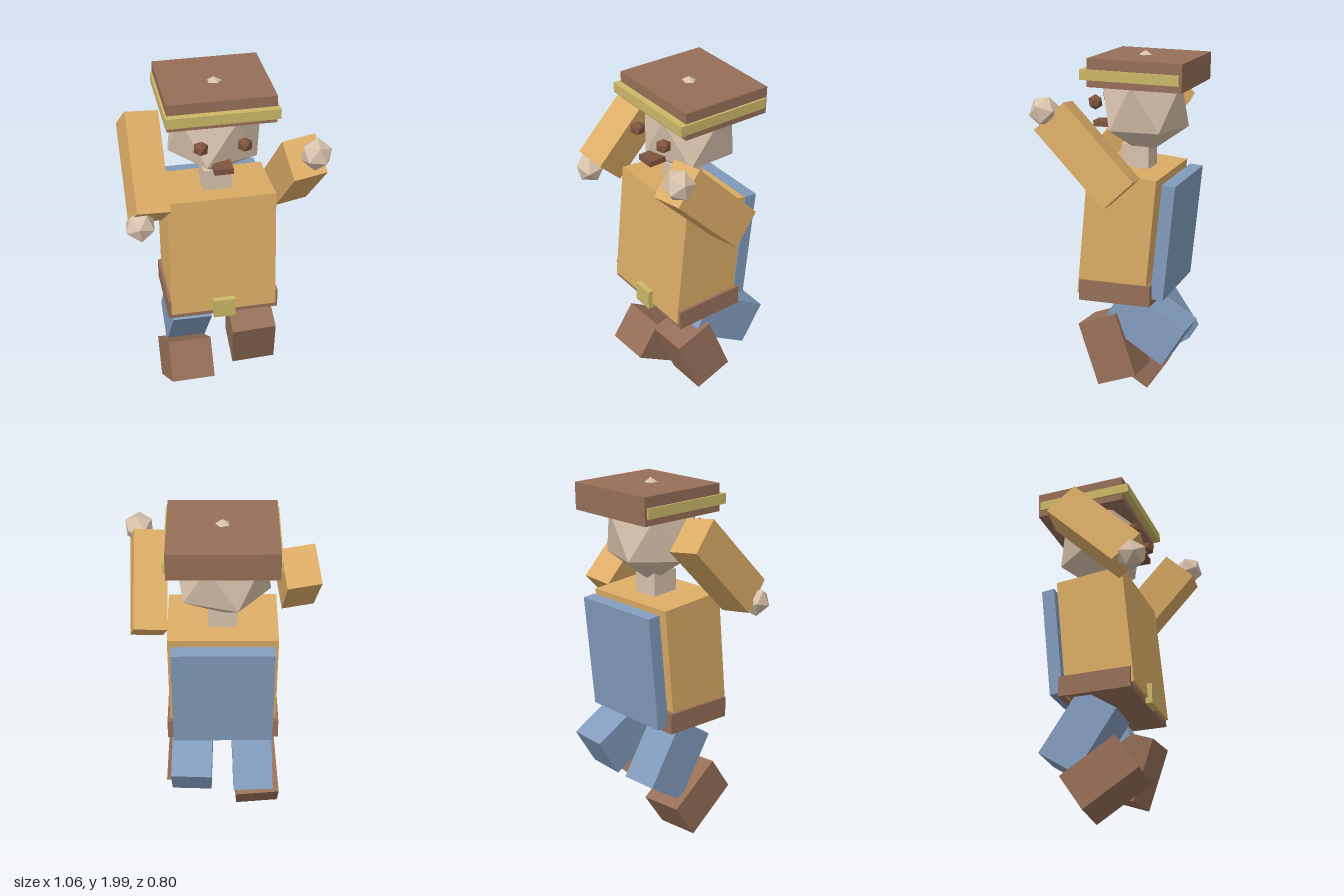
import * as THREE from 'three';

const mat = (name, color) => {
  const m = new THREE.MeshStandardMaterial({ color });
  m.name = name;
  return m;
};

export function createModel() {
  const tan = mat('tan shirt', 0xdcac66);
  const brown = mat('brown leather', 0x966f58);
  const darkBrown = mat('dark brown', 0x80543f);
  const skin = mat('skin', 0xd8c2ac);
  const blue = mat('blue cloth', 0x829cbd);
  const yellow = mat('yellow trim', 0xccb868);

  const model = new THREE.Group();
  model.name = 'blockFigure';

  const add = (name, geometry, material, pos, rot = [0, 0, 0]) => {
    const mesh = new THREE.Mesh(geometry, material);
    mesh.name = name;
    mesh.position.set(...pos);
    mesh.rotation.set(...rot);
    model.add(mesh);
    return mesh;
  };
  const box = (name, material, size, pos, rot) =>
    add(name, new THREE.BoxGeometry(...size), material, pos, rot);

  // Faceted ball standing on a vertex, with a ring corner towards +x
  const ball = (name, material, [rx, ry, rz], pos, rot) => {
    const g = new THREE.IcosahedronGeometry(1, 0);
    g.rotateZ(-Math.atan(2 / (1 + Math.sqrt(5))));
    g.scale(rx, ry, rz);
    g.computeVertexNormals();
    return add(name, g, material, pos, rot);
  };

  // Torso, belt and back panel
  box('torso', tan, [0.59, 0.7, 0.385], [0, 1.026, -0.01], [-0.095, 0, 0]);
  box('belt', brown, [0.62, 0.115, 0.405], [0, 0.718, -0.003]);
  box('buckle', yellow, [0.122, 0.115, 0.06], [0, 0.718, 0.208]);
  box('backPanel', blue, [0.55, 0.64, 0.073], [0, 1.013, -0.264], [-0.1, 0, 0]);
  box('neck', skin, [0.155, 0.16, 0.155], [0, 1.42, -0.045]);

  // Head and face
  ball('head', skin, [0.283, 0.285, 0.262], [0, 1.715, -0.08]);
  for (const [side, s] of [['left', 1], ['right', -1]]) {
    ball(side + 'Eye', darkBrown, [0.042, 0.042, 0.042], [s * 0.115, 1.725, 0.167]);
  }
  box('mouth', darkBrown, [0.1, 0.032, 0.1], [0, 1.595, 0.155]);

  // Hat with band
  box('hat', brown, [0.57, 0.15, 0.515], [0, 1.9, -0.107], [-0.02, 0, 0]);
  box('hatBand', yellow, [0.593, 0.055, 0.538], [0, 1.89, -0.081], [-0.02, 0, 0]);

  // Arms and hands
  const arms = [
    ['left', [0.4, 1.497, 0.107], 0.76, [0.452, 1.72, 0.319]],
    ['right', [-0.4, 1.573, 0.04], -0.785, [-0.453, 1.355, 0.262]],
  ];
  for (const [side, pos, pitch, handPos] of arms) {
    const rot = [pitch, 0.16, 0];
    box(side + 'Arm', tan, [0.18, 0.542, 0.213], pos, rot);
    ball(side + 'Hand', skin, [0.085, 0.085, 0.085], handPos, rot);
  }

  // Thighs and boots in a running pose
  const legs = [
    ['left', 1, [0.172, 0.537, -0.164], 1.02, [0.193, 0.381, 0.035], 0.354],
    ['right', -1, [-0.167, 0.464, -0.108], 0.58, [-0.193, 0.208, 0.022], 0.977],
  ];
  for (const [side, s, thighPos, thighPitch, bootPos, bootPitch] of legs) {
    box(side + 'Thigh', blue, [0.225, 0.405, 0.25], thighPos, [thighPitch, 0, s * 0.03]);
    box(side + 'Boot', brown, [0.25, 0.357, 0.23], bootPos, [bootPitch, 0, s * 0.07]);
  }

  return model;
}
